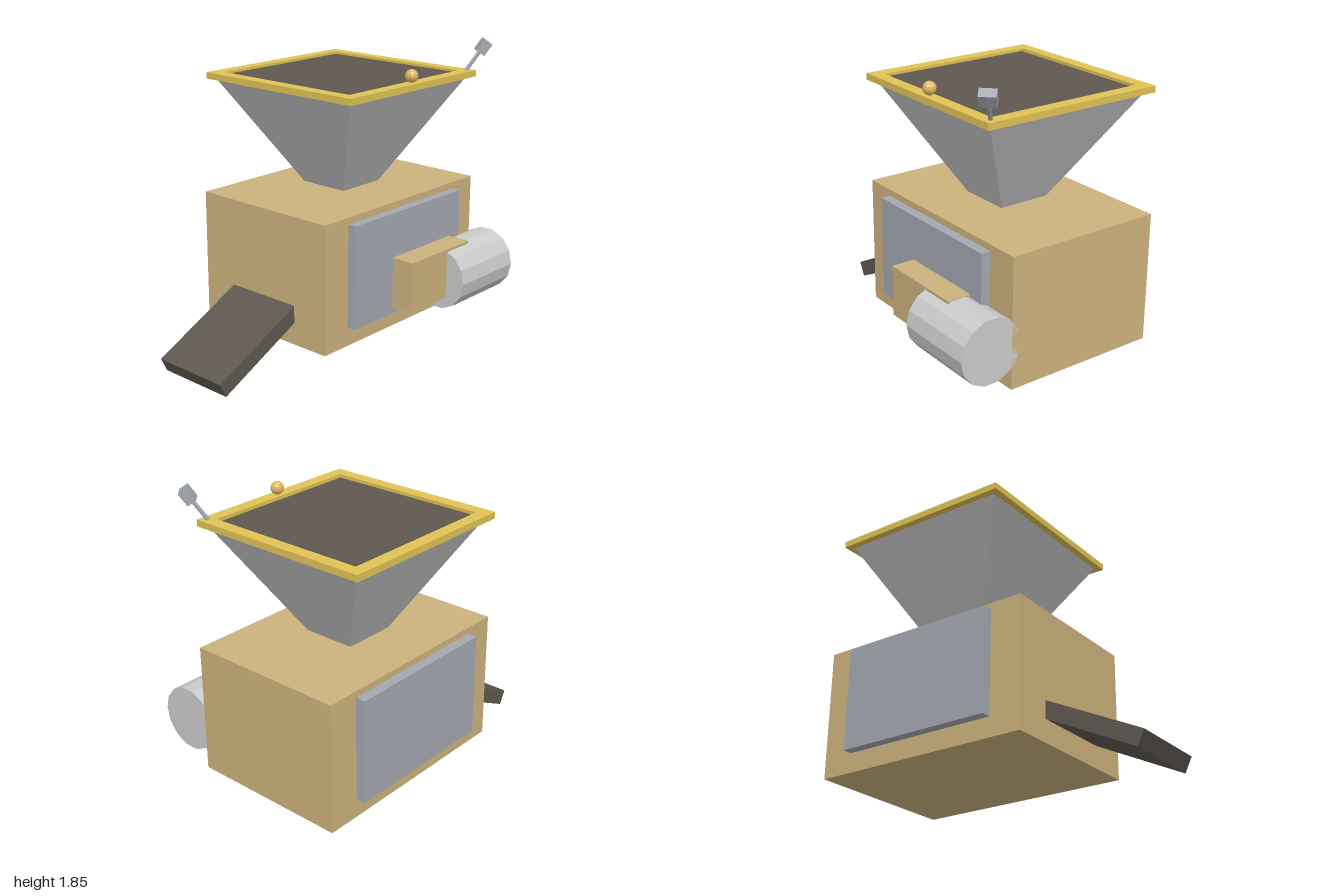
import * as THREE from 'three';

const mat = (color) => new THREE.MeshStandardMaterial({ color, flatShading: true });
const TAN = mat(0xccb27d), STEEL = mat(0xcccccc), PANEL = mat(0xa3a8b0);
const GOLD = mat(0xe0c255), DARK = mat(0x5e5850), BRASS = mat(0xe0b864);

export function createModel() {
  const group = new THREE.Group();
  const add = (name, geometry, material, x, y, z) => {
    const mesh = new THREE.Mesh(geometry, material);
    mesh.name = name;
    mesh.position.set(x, y, z);
    group.add(mesh);
    return mesh;
  };
  const box = (name, material, w, h, d, x, y, z) =>
    add(name, new THREE.BoxGeometry(w, h, d), material, x, y, z);
  const midX = 0.3, midZ = -0.125;

  // Main housing with a raised panel on the front and the back
  box('housing', TAN, 1.4, 0.8, 1, midX, 0.54, midZ);
  for (const [name, side] of [['frontPanel', 1], ['backPanel', -1]]) {
    box(name, PANEL, 1, 0.64, 0.08, midX, 0.58, midZ + side * 0.52);
  }

  // Gearbox and motor on the front
  box('gearbox', TAN, 0.56, 0.316, 0.16, 0.42, 0.462, 0.505);
  add('motor', new THREE.CylinderGeometry(0.2, 0.2, 0.52, 14), STEEL, 0.74, 0.42, 0.515)
    .rotation.z = Math.PI / 2;

  // Discharge chute sloping down to the ground
  box('chute', DARK, 0.8, 0.098, 0.515, -0.62, 0.224, midZ - 0.003).rotation.z = 0.46;

  // Four-sided hopper, its contents and the rim around the mouth
  add('hopper', new THREE.CylinderGeometry(0.545 * Math.SQRT2, 0.165 * Math.SQRT2, 0.66, 4)
    .rotateY(Math.PI / 4), STEEL, midX, 1.29, midZ);
  box('hopperFill', DARK, 0.975, 0.05, 0.975, midX, 1.625, midZ);
  const square = (PathType, h) => new PathType([[-h, -h], [h, -h], [h, h], [-h, h]]
    .map(([x, y]) => new THREE.Vector2(x, y)));
  const rim = square(THREE.Shape, 0.587);
  rim.holes.push(square(THREE.Path, 0.51));
  add('hopperRim', new THREE.ExtrudeGeometry(rim, { depth: 0.04, bevelEnabled: false })
    .rotateX(-Math.PI / 2), GOLD, midX, 1.62, midZ);

  // Round knob on the front of the rim
  add('knob', new THREE.SphereGeometry(0.04, 12, 8), BRASS, midX, 1.7, 0.42);

  // Lever leaning out over the front corner, with a block handle
  const lever = new THREE.Group();
  lever.name = 'lever';
  lever.position.set(0.916, 1.805, 0.489);
  lever.rotation.order = 'YXZ';
  lever.rotation.set(0.61, Math.PI / 4, 0);
  const handle = new THREE.Mesh(new THREE.BoxGeometry(0.095, 0.085, 0.058), PANEL);
  handle.name = 'leverHandle';
  const rod = new THREE.Mesh(new THREE.CylinderGeometry(0.012, 0.012, 0.18, 8), PANEL);
  rod.name = 'leverRod';
  rod.position.y = -0.09;
  lever.add(handle, rod);
  group.add(lever);

  return group;
}
